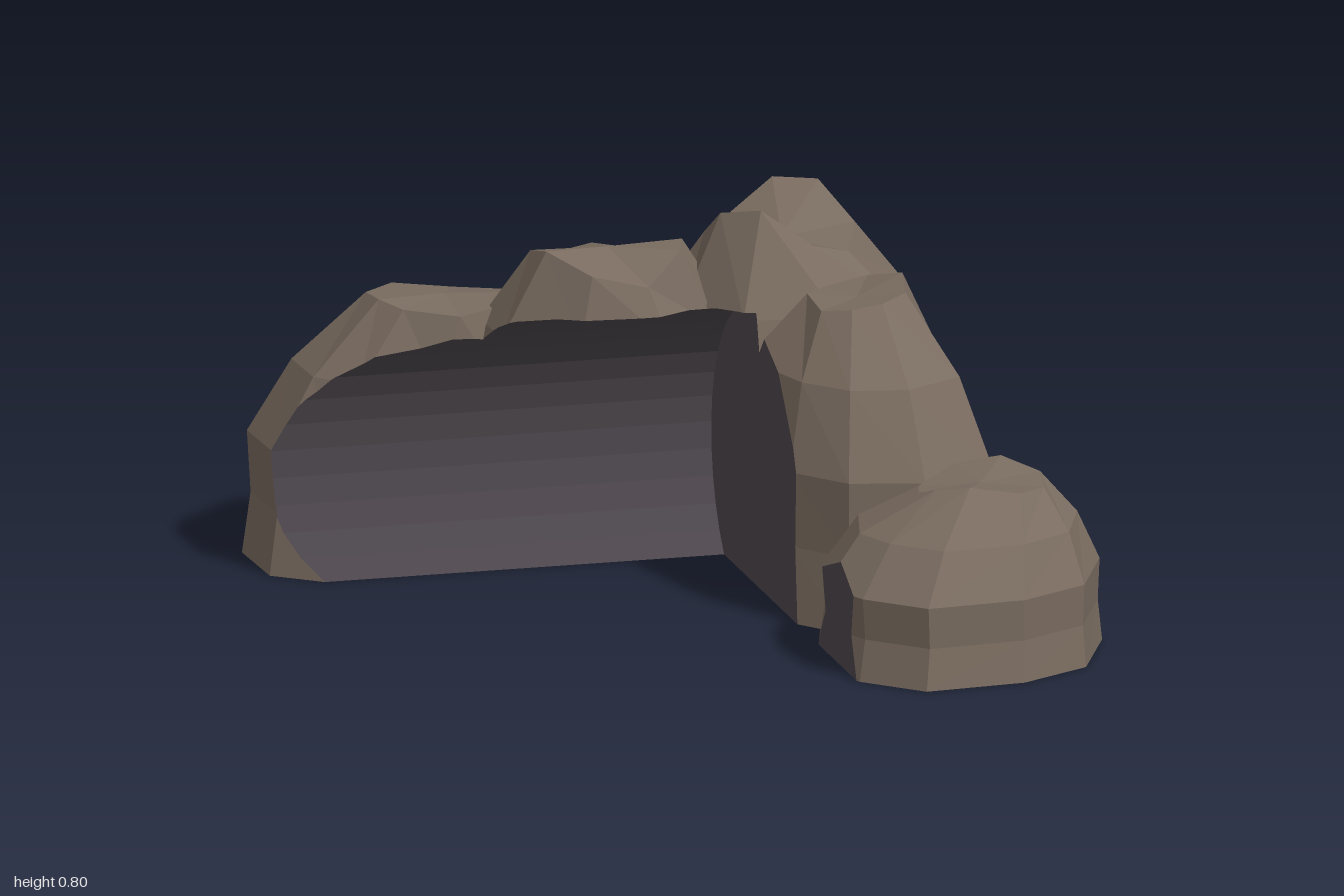
import * as THREE from 'three';

const V = (x, y, z) => new THREE.Vector3(x, y, z);

// Part of a convex polygon where n.p >= d
function clip(poly, n, d) {
  const out = [];
  poly.forEach((a, i) => {
    const b = poly[(i + 1) % poly.length];
    const da = n.dot(a) - d, db = n.dot(b) - d;
    if (da >= -1e-7) out.push(a);
    if ((da > 1e-7 && db < -1e-7) || (da < -1e-7 && db > 1e-7)) {
      out.push(a.clone().lerp(b, da / (da - db)));
    }
  });
  return out.length > 2 ? out : [];
}

// Plane through three points, facing towards a fourth
function planeOf(a, b, c, inside) {
  const n = b.clone().sub(a).cross(c.clone().sub(a)).normalize();
  if (n.dot(inside) < n.dot(a)) n.negate();
  return { n, d: n.dot(a) };
}

// Flat-shaded geometry from convex polygons
function fromPolys(polys) {
  const pos = [];
  for (const p of polys) {
    for (let i = 1; i < p.length - 1; i++) {
      for (const v of [p[0], p[i], p[i + 1]]) pos.push(v.x, v.y, v.z);
    }
  }
  const g = new THREE.BufferGeometry();
  g.setAttribute('position', new THREE.Float32BufferAttribute(pos, 3));
  g.computeVertexNormals();
  return g;
}

// Closed boulder: outline [x, z] drawn in to a smaller crown with its own rim heights
function boulderTriangles({ outline, waist, crown, r, rim, pole }) {
  const n = outline.length;
  const cx = outline.reduce((s, p) => s + p[0], 0) / n;
  const cz = outline.reduce((s, p) => s + p[1], 0) / n;
  const centre = V(cx, waist * 0.8, cz);
  const mid = waist + (Math.max(...rim) - waist) * 0.5;
  // height at each corner, blend towards crown
  const levels = [[() => 0, 0], [() => waist * 0.5, 0.07], [() => waist, 0.04], [() => mid, 0.4], [(i) => rim[i], 1]];
  const rings = levels.map(([height, t]) => outline.map(([x, z], i) => {
    const len = Math.hypot(x - cx, z - cz);
    const px = crown[0] + (x - cx) / len * r, pz = crown[1] + (z - cz) / len * r;
    return V(x + (px - x) * t, height(i), z + (pz - z) * t);
  }));
  const tris = [];
  const add = (a, b, c) => {
    const inward = planeOf(a, b, c, centre).n;
    const cross = b.clone().sub(a).cross(c.clone().sub(a));
    tris.push(cross.dot(inward) > 0 ? [a, c, b] : [a, b, c]);
  };
  const floor = V(cx, 0, cz), peak = V(crown[0], pole, crown[1]);
  for (let i = 0; i < n; i++) {
    const j = (i + 1) % n;
    add(floor, rings[0][i], rings[0][j]);
    add(peak, rings[4][i], rings[4][j]);
    for (let k = 0; k < 4; k++) {
      add(rings[k][i], rings[k][j], rings[k + 1][j]);
      add(rings[k][i], rings[k + 1][j], rings[k + 1][i]);
    }
  }
  return { tris, centre };
}

// Hollow: a round-backed gallery with a flat end wall, turned 31 degrees
function hollowFaces() {
  const turn = 31 * Math.PI / 180, c = Math.cos(turn), s = Math.sin(turn), R = 0.35;
  const at = (u, w, y) => V(-0.01 + u * c + w * s, y, -0.24 - u * s + w * c);
  const inside = at(-0.5, 0.5, 0.3);
  const arc = [], steps = 14, sweep = Math.acos(-0.25 / R);
  for (let i = 0; i <= steps; i++) {
    const a = sweep * i / steps;
    arc.push([0.25 - R * Math.sin(a), 0.25 + R * Math.cos(a)]);
  }
  const profile = [[2, 0], [2, 0.6], ...arc];
  const polys = [profile.map(([w, y]) => at(0, w, y))];
  for (let i = 1; i < profile.length - 1; i++) {
    const [p, q] = [profile[i], profile[i + 1]];
    polys.push([at(-1.8, ...p), at(0, ...p), at(0, ...q), at(-1.8, ...q)]);
  }
  return polys.map((poly) => {
    const plane = planeOf(poly[0], poly[1], poly[2], inside);
    const cross = poly[1].clone().sub(poly[0]).cross(poly[2].clone().sub(poly[0]));
    if (cross.dot(plane.n) < 0) poly.reverse();
    return { poly, ...plane };
  });
}

const BOULDERS = {
  farRightBoulder: {
    outline: [[-1, 0.03], [-0.92, -0.2], [-0.73, -0.39], [-0.48, -0.36], [-0.35, -0.15], [-0.42, 0.07], [-0.57, 0.15], [-0.75, 0.22], [-0.89, 0.2]],
    waist: 0.27, crown: [-0.58, -0.06], r: 0.165, pole: 0.58,
    rim: [0.58, 0.57, 0.55, 0.56, 0.58, 0.58, 0.57, 0.58, 0.59],
  },
  rightBoulder: {
    outline: [[-0.41, -0.43], [-0.15, -0.43], [0.05, -0.3], [0.08, -0.1], [0, 0.1], [-0.22, 0.19], [-0.45, 0.16], [-0.56, 0], [-0.55, -0.25]],
    waist: 0.36, crown: [-0.21, -0.04], r: 0.165, pole: 0.715,
    rim: [0.68, 0.67, 0.72, 0.72, 0.66, 0.69, 0.73, 0.71, 0.67],
  },
  backBoulder: {
    outline: [[-0.08, -0.74], [0.17, -0.66], [0.37, -0.51], [0.46, -0.23], [0.35, -0.02], [0.1, 0.08], [-0.1, -0.05], [-0.2, -0.25], [-0.2, -0.5]],
    waist: 0.37, crown: [0.11, -0.27], r: 0.165, pole: 0.7,
    rim: [0.79, 0.79, 0.72, 0.69, 0.72, 0.8, 0.78, 0.71, 0.72],
  },
  leftBoulder: {
    outline: [[0.69, 0.1], [0.59, 0.28], [0.43, 0.33], [0.28, 0.27], [0.04, 0.08], [0.1, -0.12], [0.36, -0.23], [0.57, -0.11]],
    waist: 0.33, crown: [0.36, 0.02], r: 0.11, pole: 0.66,
    rim: [0.68, 0.67, 0.66, 0.65, 0.66, 0.66, 0.68, 0.7],
  },
  farLeftBoulder: {
    outline: [[0.99, 0.45], [0.96, 0.22], [0.7, 0.1], [0.5, 0.22], [0.39, 0.43], [0.45, 0.62], [0.56, 0.7], [0.72, 0.74], [0.9, 0.61]],
    waist: 0.18, crown: [0.73, 0.36], r: 0.14, pole: 0.365,
    rim: [0.365, 0.375, 0.39, 0.375, 0.345, 0.355, 0.375, 0.39, 0.37],
  },
};

export function createModel() {
  const group = new THREE.Group();
  group.name = 'rockShelter';
  const stone = new THREE.MeshStandardMaterial({ color: 0x7a6c60 });
  stone.name = 'brownStone';
  const shade = new THREE.MeshStandardMaterial({ color: 0x4d474d });
  shade.name = 'darkHollow';
  const cutter = hollowFaces();
  const wall = [];

  for (const [name, spec] of Object.entries(BOULDERS)) {
    const { tris, centre } = boulderTriangles(spec);
    const skin = [];
    for (const tri of tris) {
      // Outer skin: keep what lies outside the hollow
      let rest = tri;
      for (const { n, d } of cutter) {
        const kept = clip(rest, n.clone().negate(), -d);
        if (kept.length) skin.push(kept);
        rest = clip(rest, n, d);
        if (!rest.length) break;
      }
      // Hollow wall: keep what lies inside this wedge of the boulder
      const [a, b, c] = tri;
      const wedge = [planeOf(a, b, c, centre), planeOf(centre, a, b, c), planeOf(centre, b, c, a), planeOf(centre, c, a, b)];
      for (const { poly } of cutter) {
        const piece = wedge.reduce((p, { n, d }) => (p.length ? clip(p, n, d) : p), poly);
        if (piece.length) wall.push(piece);
      }
    }
    const mesh = new THREE.Mesh(fromPolys(skin), stone);
    mesh.name = name;
    group.add(mesh);
  }

  const hollow = new THREE.Mesh(fromPolys(wall), shade);
  hollow.name = 'hollowWall';
  group.add(hollow);
  return group;
}
